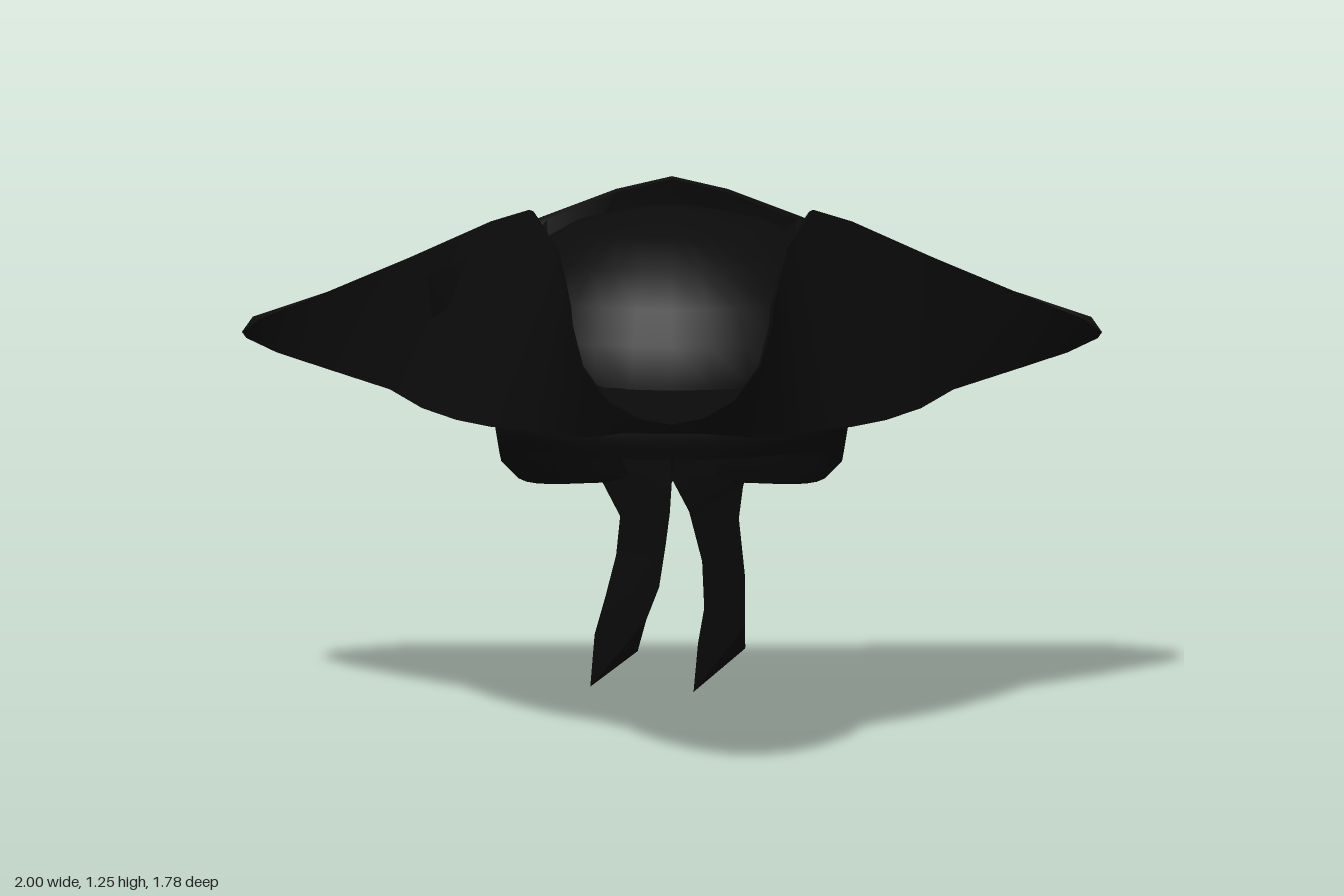
import * as THREE from 'three';
import { toCreasedNormals } from 'three/addons/utils/BufferGeometryUtils.js';

const CZ = -0.23; // centre of the crown along z

// Skin a list of equal-length closed rings, bottom to top
function loft(rings, crease) {
  const n = rings[0].length, index = [];
  for (let r = 0; r < rings.length - 1; r++) {
    for (let i = 0; i < n; i++) {
      const a = r * n + i, b = r * n + (i + 1) % n;
      index.push(a, b, b + n, a, b + n, a + n);
    }
  }
  const g = new THREE.BufferGeometry();
  g.setAttribute('position', new THREE.Float32BufferAttribute(rings.flat(2), 3));
  g.setIndex(index);
  return toCreasedNormals(g, crease);
}

// Complete a half outline (front to back on +x) with its mirror image
const mirror = (half) => [
  ...half,
  ...half.slice(1, -1).reverse().map(([x, y, z]) => [-x, y, z]),
];

// Shrink a ring toward the crown axis and shift it upward
const inset = (ring, s, dy) => ring.map(([x, y, z]) => [x * s, y + dy, CZ + (z - CZ) * s]);

// Ring part of the way between two others
const between = (a, b, t) => a.map((p, i) => p.map((v, k) => v + (b[i][k] - v) * t));

// Ellipse points lying in the same directions as the points of a ring
const ellipseUnder = (ring, rx, rz, y) => ring.map(([x, , z]) => {
  const a = Math.atan2(x / rx, (z - CZ) / rz);
  return [rx * Math.sin(a), y, CZ + rz * Math.cos(a)];
});

// Rounded ring of the head band; height may depend on z
function bandRing(rx, rz, height) {
  const pow = (v) => Math.sign(v) * Math.abs(v) ** 0.78;
  return Array.from({ length: 40 }, (_, i) => {
    const a = (i / 40) * Math.PI * 2;
    const z = -0.22 + rz * pow(Math.cos(a));
    return [rx * pow(Math.sin(a)), height(z), z];
  });
}

// Ribbon tail with a ridged back; rows of two edges, bottom to top
function ribbon(rows) {
  const rings = rows.map(([x0, y0, z0, x1, y1, z1], r) => {
    const t = r === 0 ? 0.3 : 1;
    return [
      [x0, y0, z0 + 0.03 * t], [x1, y1, z1 + 0.03 * t], [x1, y1, z1 - 0.02 * t],
      [(x0 + x1) / 2, (y0 + y1) / 2, (z0 + z1) / 2 - 0.05 * t], [x0, y0, z0 - 0.02 * t],
    ];
  });
  const [x0, y0, z0, x1, y1, z1] = rows[0];
  const mid = [(x0 + x1) / 2, (y0 + y1) / 2, (z0 + z1) / 2];
  return loft([rings[0].map(() => mid), ...rings], 0.5);
}

export function createModel() {
  const group = new THREE.Group();
  const felt = new THREE.MeshStandardMaterial({ color: 0x0b0b0b, side: THREE.DoubleSide });
  felt.name = 'blackFelt';
  const add = (name, geometry) => {
    const m = new THREE.Mesh(geometry, felt);
    m.name = name;
    group.add(m);
  };

  // Brim: lower fold line and the arched upper edge of its three flaps
  const fold = mirror([
    [0, 0.86, 0.89], [0.06, 0.85, 0.865], [0.125, 0.835, 0.78], [0.19, 0.805, 0.63],
    [0.245, 0.785, 0.47], [0.265, 0.775, 0.38], [0.32, 0.77, 0.28], [0.42, 0.762, 0.15],
    [0.5, 0.76, 0.02], [0.58, 0.765, -0.14], [0.655, 0.785, -0.31], [0.82, 0.815, -0.48],
    [0.92, 0.83, -0.61], [0.99, 0.848, -0.72], [0.965, 0.85, -0.8], [0.85, 0.84, -0.845],
    [0.64, 0.825, -0.82], [0.46, 0.81, -0.78], [0.3, 0.8, -0.77], [0.15, 0.8, -0.775],
    [0, 0.8, -0.78],
  ]);
  const edge = mirror([
    [0, 0.872, 0.897], [0.08, 0.885, 0.875], [0.15, 0.915, 0.79], [0.21, 0.975, 0.64],
    [0.235, 1.045, 0.46], [0.24, 1.08, 0.37], [0.25, 1.115, 0.28], [0.27, 1.18, 0.14],
    [0.33, 1.245, -0.04], [0.42, 1.205, -0.13], [0.61, 1.1, -0.27], [0.83, 0.98, -0.465],
    [0.955, 0.91, -0.61], [1, 0.862, -0.72], [0.975, 0.885, -0.81], [0.83, 0.925, -0.875],
    [0.66, 0.985, -0.85], [0.48, 1.05, -0.795], [0.3, 1.135, -0.71], [0.13, 1.21, -0.635],
    [0, 1.245, -0.6],
  ]);
  add('brim', loft([
    ellipseUnder(fold, 0.39, 0.48, 0.76),
    fold,
    edge,
    inset(edge, 0.97, -0.005),
    inset(between(fold, edge, 0.38), 0.935, 0.01),
    ellipseUnder(fold, 0.45, 0.45, 0.86),
  ], 0.9));

  // Crown dome
  const profile = [
    [0.47, 0.8], [0.475, 0.87], [0.455, 0.96], [0.41, 1.04], [0.34, 1.12],
    [0.23, 1.185], [0.1, 1.215], [0, 1.225],
  ].map(([r, y]) => new THREE.Vector2(r, y));
  const crown = new THREE.LatheGeometry(profile, 32);
  crown.translate(0, 0, CZ);
  add('crown', crown);

  // Head band, hollow and sweeping down to the back
  const slope = (lift) => (z) =>
    0.512 + lift + 0.19 * THREE.MathUtils.smoothstep((z + 0.73) * 1.06, 0, 1);
  add('headBand', loft([
    bandRing(0.39, 0.4, () => 0.9),
    bandRing(0.37, 0.46, () => 0.77),
    bandRing(0.36, 0.475, slope(0.015)),
    bandRing(0.37, 0.49, slope(0)),
    bandRing(0.4, 0.505, slope(0.03)),
    bandRing(0.41, 0.51, (z) => (slope(0.03)(z) + 0.77) / 2),
    bandRing(0.4, 0.51, () => 0.78),
  ], 0.8));

  // Two ribbon tails hanging from the back of the band
  add('leftRibbon', ribbon([
    [0.05, 0.0, -0.85, 0.17, 0.1, -0.865],
    [0.06, 0.11, -0.84, 0.17, 0.16, -0.835],
    [0.075, 0.2, -0.81, 0.17, 0.27, -0.8],
    [0.07, 0.32, -0.775, 0.155, 0.42, -0.755],
    [0.04, 0.44, -0.75, 0.165, 0.5, -0.735],
    [0, 0.52, -0.725, 0.175, 0.54, -0.71],
    [0.01, 0.62, -0.7, 0.16, 0.62, -0.7],
  ]));
  add('rightRibbon', ribbon([
    [-0.19, 0.02, -0.795, -0.08, 0.1, -0.82],
    [-0.18, 0.14, -0.79, -0.06, 0.18, -0.79],
    [-0.155, 0.23, -0.775, -0.03, 0.26, -0.77],
    [-0.13, 0.33, -0.76, -0.015, 0.36, -0.75],
    [-0.12, 0.43, -0.74, -0.005, 0.44, -0.73],
    [-0.165, 0.52, -0.72, 0, 0.52, -0.715],
    [-0.16, 0.62, -0.7, -0.01, 0.62, -0.7],
  ]));

  return group;
}
